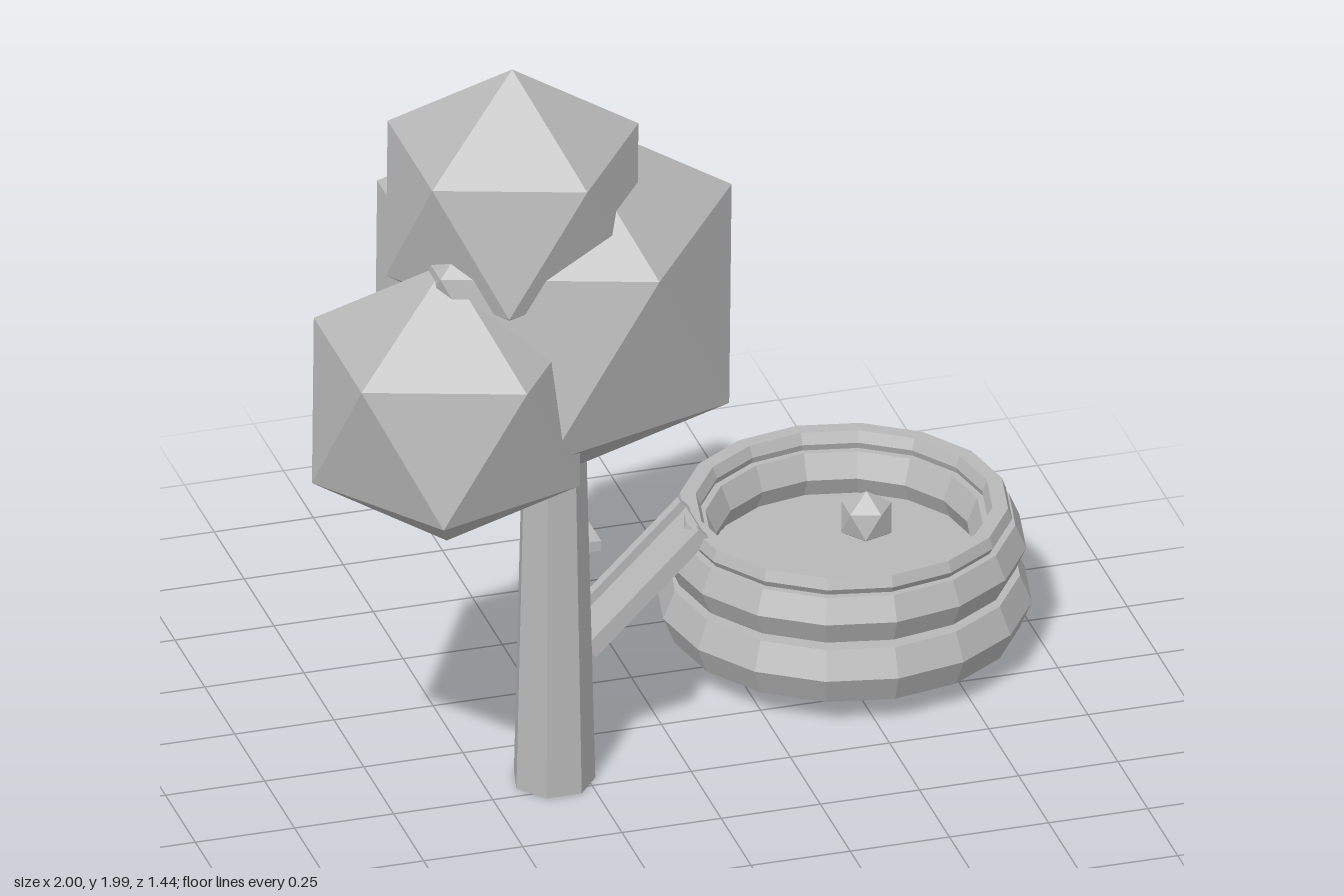
import * as THREE from 'three';
import { ConvexGeometry } from 'three/addons/geometries/ConvexGeometry.js';

const grey = new THREE.MeshStandardMaterial({ color: 0xb8b8b8 });
grey.name = 'light grey';

// Give every face its own normal for a faceted look
function facet(geometry) {
  const g = geometry.index ? geometry.toNonIndexed() : geometry;
  g.computeVertexNormals();
  return g;
}

function add(parent, name, geometry, x = 0, y = 0, z = 0) {
  const mesh = new THREE.Mesh(facet(geometry), grey);
  mesh.name = name;
  mesh.position.set(x, y, z);
  parent.add(mesh);
  return mesh;
}

// Icosahedron standing on a pole, with two staggered rings of five corners
function poleIcosahedron(r) {
  const points = [new THREE.Vector3(0, r, 0), new THREE.Vector3(0, -r, 0)];
  const ringR = r * 2 / Math.sqrt(5), ringY = r / Math.sqrt(5);
  for (let i = 0; i < 10; i++) {
    const a = i * Math.PI / 5;
    points.push(new THREE.Vector3(ringR * Math.cos(a), i % 2 ? -ringY : ringY, ringR * Math.sin(a)));
  }
  return new ConvexGeometry(points);
}

// Closed ring turned from a cross-section of [radius, height] points
function ring(section) {
  const points = [...section, section[0]].map(([r, y]) => new THREE.Vector2(r, y));
  return new THREE.LatheGeometry(points, 16);
}

// Six-sided inflatable tube
function tube(middle, halfWidth, bottom, top) {
  const mid = (bottom + top) / 2, c = halfWidth * 0.6;
  return ring([
    [middle + c, bottom], [middle + halfWidth, mid], [middle + c, top],
    [middle - c, top], [middle - halfWidth, mid], [middle - c, bottom],
  ]);
}

function createTree() {
  const tree = new THREE.Group();
  tree.name = 'tree';
  add(tree, 'trunk', new THREE.CylinderGeometry(0.078, 0.102, 1, 7, 1, false, Math.PI), -0.33, 0.5, 0.19);
  const clumps = [
    ['mainFoliage', 0.503, -0.33, 1.335, 0.19],
    ['topFoliage', 0.356, -0.45, 1.635, 0.245],
    ['frontFoliage', 0.38, -0.66, 1.19, 0.395],
    ['backFoliage', 0.36, -0.23, 1.24, -0.07],
  ];
  for (const [name, r, x, y, z] of clumps) add(tree, name, poleIcosahedron(r), x, y, z);
  return tree;
}

function createPool() {
  const pool = new THREE.Group();
  pool.name = 'pool';
  pool.position.set(0.542, 0, -0.27);
  add(pool, 'lowerTube', tube(0.382, 0.074, 0.066, 0.208));
  add(pool, 'upperTube', tube(0.376, 0.066, 0.223, 0.345));
  add(pool, 'rim', ring([
    [0.395, 0.34], [0.408, 0.362], [0.398, 0.39], [0.36, 0.39], [0.348, 0.362], [0.355, 0.34],
  ]));
  add(pool, 'water', new THREE.CylinderGeometry(0.325, 0.325, 0.008, 16), 0, 0.234, 0);
  add(pool, 'ball', poleIcosahedron(0.071), 0.088, 0.277, -0.105);
  return pool;
}

function createSlide() {
  const slide = new THREE.Group();
  slide.name = 'slide';
  slide.position.set(0, 0, -0.27);

  // Sloping chute with raised side rails
  const chute = new THREE.Group();
  chute.name = 'chute';
  chute.position.set(0.02, 0.262, 0);
  chute.rotation.z = Math.PI * 0.245;
  add(chute, 'chuteBed', new THREE.BoxGeometry(0.395, 0.014, 0.15), 0, -0.008, 0);
  for (const s of [-1, 1]) add(chute, 'chuteRail', new THREE.BoxGeometry(0.4, 0.042, 0.026), 0, 0, s * 0.075);
  slide.add(chute);

  // Ladder with a small platform
  for (const s of [-1, 1]) add(slide, 'ladderLeg', new THREE.BoxGeometry(0.036, 0.34, 0.032), -0.171, 0.232, s * 0.075);
  for (const y of [0.155, 0.243, 0.33]) add(slide, 'rung', new THREE.BoxGeometry(0.03, 0.022, 0.15), -0.183, y, 0);
  add(slide, 'platform', new THREE.BoxGeometry(0.092, 0.027, 0.184), -0.144, 0.413, 0);
  return slide;
}

export function createModel() {
  const model = new THREE.Group();
  model.name = 'treeAndPool';
  model.add(createTree(), createPool(), createSlide());
  return model;
}
